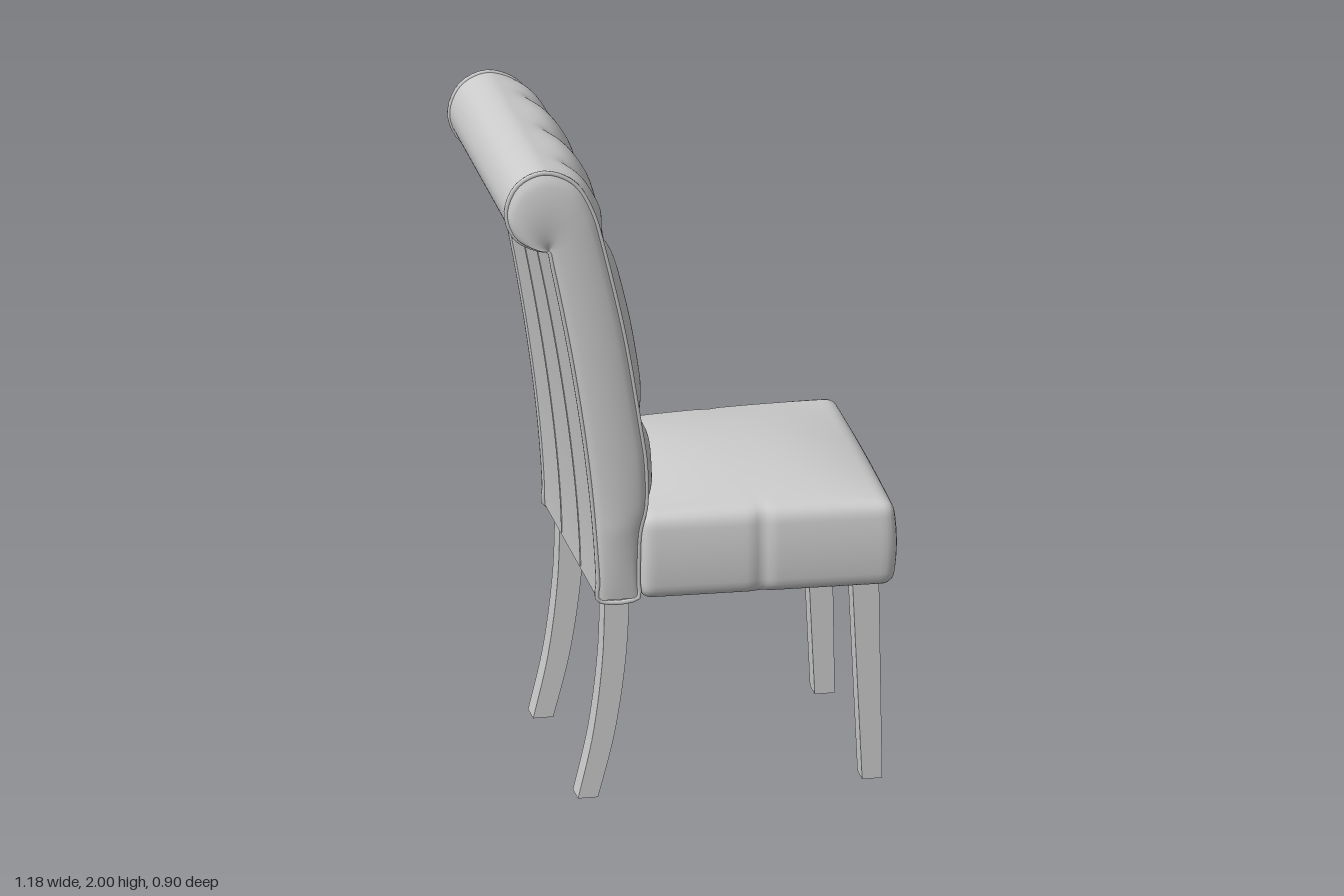
import * as THREE from 'three';
import { mergeVertices } from 'three/addons/utils/BufferGeometryUtils.js';

const grey = new THREE.MeshStandardMaterial({ color: 0xcccccc, side: THREE.DoubleSide });
const V2 = (x, y) => new THREE.Vector2(x, y);
const V3 = (x, y, z) => new THREE.Vector3(x, y, z);
const smooth = THREE.MathUtils.smoothstep;

// Front line of the backrest, from the seat up and around the top roll
const frontLine = new THREE.SplineCurve([
  [-0.19, 0.63], [-0.188, 0.82], [-0.168, 0.92], [-0.17, 1.05], [-0.187, 1.17], [-0.235, 1.46],
  [-0.3, 1.75], [-0.335, 1.87], [-0.388, 1.957], [-0.475, 1.995], [-0.555, 1.962], [-0.59, 1.88],
  [-0.565, 1.8], [-0.505, 1.76], [-0.462, 1.75],
].map(p => V2(...p)));
const backX = y => -0.31 - 0.152 * Math.pow(Math.max(0, (y - 0.63) / 1.12), 1.6);
const halfWidth = y => 0.39 + 0.02 * smooth(y, 0.63, 1.8);

// Tufting layout as (z, y)
const buttons = [[-0.26, 1.75], [0, 1.75], [0.26, 1.75], [-0.13, 1.46], [0.13, 1.46],
  [-0.245, 1.17], [0, 1.17], [0.245, 1.17]];
const seams = [[0, 1.75, 0, 1.95], [0, 1.17, 0, 0.88]];
for (const s of [-1, 1]) {
  seams.push([0, 1.75, s * 0.13, 1.46], [s * 0.13, 1.46, 0, 1.17],
    [s * 0.26, 1.75, s * 0.13, 1.46], [s * 0.13, 1.46, s * 0.245, 1.17],
    [s * 0.26, 1.75, s * 0.265, 1.95], [s * 0.245, 1.17, s * 0.255, 0.88],
    [s * 0.26, 1.75, s * 0.41, 1.755], [s * 0.245, 1.17, s * 0.41, 1.18]);
}

function seamDistance(z, y) {
  let best = 9;
  for (const [z0, y0, z1, y1] of seams) {
    const dz = z1 - z0, dy = y1 - y0;
    const t = THREE.MathUtils.clamp(((z - z0) * dz + (y - y0) * dy) / (dz * dz + dy * dy), 0, 1);
    best = Math.min(best, Math.hypot(z - z0 - t * dz, y - y0 - t * dy));
  }
  return best;
}

// Point on the padded front: u runs -1..1 across, v runs 0..1 up and over the roll
function frontPoint(u, v) {
  const p = frontLine.getPoint(v), t = frontLine.getTangent(v);
  const z = u * halfWidth(p.y);
  const fade = smooth(p.x, -0.46, -0.31) * smooth(p.y, 0.86, 0.98) * (1 - Math.pow(Math.abs(u), 8));
  let push = 0.045 * (1 - Math.exp(-seamDistance(z, p.y) / 0.045));
  for (const [bz, by] of buttons) push -= 0.012 * Math.exp(-Math.hypot(z - bz, p.y - by) / 0.02);
  push *= fade;
  return V3(p.x + t.y * push, p.y - t.x * push, z);
}

// Smooth surface from a function of two 0..1 parameters
function surface(nu, nv, fn) {
  const pos = [], index = [];
  for (let j = 0; j <= nv; j++)
    for (let i = 0; i <= nu; i++) pos.push(...fn(i / nu, j / nv).toArray());
  for (let j = 0; j < nv; j++)
    for (let i = 0; i < nu; i++) {
      const a = j * (nu + 1) + i, b = a + nu + 1;
      index.push(a, a + 1, b, b, a + 1, b + 1);
    }
  const g = new THREE.BufferGeometry();
  g.setAttribute('position', new THREE.Float32BufferAttribute(pos, 3));
  g.setIndex(index);
  g.computeVertexNormals();
  return g;
}

// Cushion: rounded box with a domed top, bulging front and tapered plan
function seatGeometry() {
  const h = V3(0.375, 0.132, 0.42), r = 0.035;
  let g = new THREE.BoxGeometry(h.x * 2, h.y * 2, h.z * 2, 48, 18, 48);
  const pos = g.attributes.position, p = V3(0, 0, 0), core = h.clone().subScalar(r);
  for (let i = 0; i < pos.count; i++) {
    p.fromBufferAttribute(pos, i);
    const inner = p.clone().clamp(core.clone().negate(), core);
    p.sub(inner).setLength(r).add(inner);
    const a = p.x / h.x, b = p.y / h.y, c = p.z / h.z;
    p.y += Math.max(0, b) ** 2 * 0.052 * (1 - Math.abs(a) ** 2.4) * (1 - c * c);
    p.x += Math.max(0, a) ** 3 * 0.024 * (1 - b * b) * (1 - 0.6 * c * c);
    p.z += c ** 3 * 0.012 * (1 - b * b);
    // vertical side seam
    p.z -= Math.sign(c) * Math.abs(c) ** 8 * 0.012 * Math.exp(-(((p.x + 0.015) / 0.02) ** 2));
    p.z *= 1 + 0.042 * a;
    pos.setXYZ(i, p.x + 0.19, p.y + 0.754, p.z);
  }
  g.deleteAttribute('uv');
  g.deleteAttribute('normal');
  g = mergeVertices(g, 1e-5);
  g.computeVertexNormals();
  return g;
}

export function createModel() {
  const group = new THREE.Group();
  const add = (name, geometry) => {
    const m = new THREE.Mesh(geometry, grey);
    m.name = name;
    group.add(m);
    return m;
  };
  const tube = (name, points, radius, closed = false) =>
    add(name, new THREE.TubeGeometry(new THREE.CatmullRomCurve3(points, closed), points.length * 2, radius, 6, closed));

  // Backrest
  add('tuftedFront', surface(110, 190, (u, v) => frontPoint(1 - 2 * u, v)));
  add('backPanel', surface(12, 30, (u, v) => {
    const y = 0.63 + 1.12 * v;
    return V3(backX(y), y, (2 * u - 1) * halfWidth(y));
  }));
  add('backrestBottom', surface(1, 1, (u, v) => V3(-0.19 - 0.12 * v, 0.63, (2 * u - 1) * 0.39)));

  for (const s of [-1, 1]) {
    // Padded side panels
    add('backrestSide', surface(12, 90, (u, v) => {
      const f = frontLine.getPoint(v);
      const y = v > 0.6 ? 1.75 : Math.min(f.y, 1.75);
      const k = s > 0 ? 1 - u : u;
      const py = THREE.MathUtils.lerp(f.y, y, k);
      const bulge = 0.026 * Math.sqrt(Math.max(0, Math.sin(Math.PI * k))) * smooth(v, -0.05, 0.1);
      return V3(THREE.MathUtils.lerp(f.x, backX(y), k), py, s * (halfWidth(py) + bulge * smooth(1 - v, 0, 0.1)));
    }));

    // Piping around the side outline
    const loop = [];
    for (let i = 0; i <= 50; i++) {
      const p = frontLine.getPoint(i / 50);
      loop.push(V3(p.x, p.y, s * halfWidth(p.y)));
    }
    for (let i = 1; i <= 20; i++) {
      const y = 1.75 - 1.12 * i / 20;
      loop.push(V3(backX(y), y, s * halfWidth(y)));
    }
    tube('piping', loop, 0.007, true);

    // Seams of the back panel
    const seam = [];
    for (let i = 0; i <= 12; i++) {
      const y = 0.64 + 1.1 * i / 12;
      seam.push(V3(backX(y), y, s * 0.135));
    }
    tube('backSeam', seam, 0.003);
  }

  // Tufting buttons
  for (const [z, y] of buttons) {
    let v = 0;
    while (frontLine.getPoint(v).y < y) v += 0.002;
    const b = add('tuftButton', new THREE.SphereGeometry(0.009, 10, 8));
    b.position.copy(frontPoint(z / halfWidth(y), v));
  }

  // Seat
  add('seat', seatGeometry());
  const base = add('seatBase', new THREE.BoxGeometry(0.6, 0.02, 0.66));
  base.position.set(0.19, 0.628, 0);

  // Legs: side outline extruded across
  const leg = (name, shape, z, width) => {
    const g = new THREE.ExtrudeGeometry(shape, { depth: width, bevelEnabled: false, curveSegments: 10 });
    add(name, g.translate(0, 0, z - width / 2));
  };
  const frontShape = new THREE.Shape([V2(0.48, 0), V2(0.54, 0), V2(0.53, 0.65), V2(0.45, 0.65)]);
  const backShape = new THREE.Shape();
  backShape.moveTo(-0.365, 0);
  backShape.lineTo(-0.305, 0);
  backShape.splineThru([V2(-0.255, 0.2), V2(-0.222, 0.43), V2(-0.21, 0.65)]);
  backShape.lineTo(-0.285, 0.65);
  backShape.splineThru([V2(-0.292, 0.43), V2(-0.32, 0.2), V2(-0.365, 0)]);
  for (const s of [-1, 1]) {
    leg('frontLeg', frontShape, s * 0.344, 0.07);
    leg('backLeg', backShape, s * 0.325, 0.075);
  }
  return group;
}
